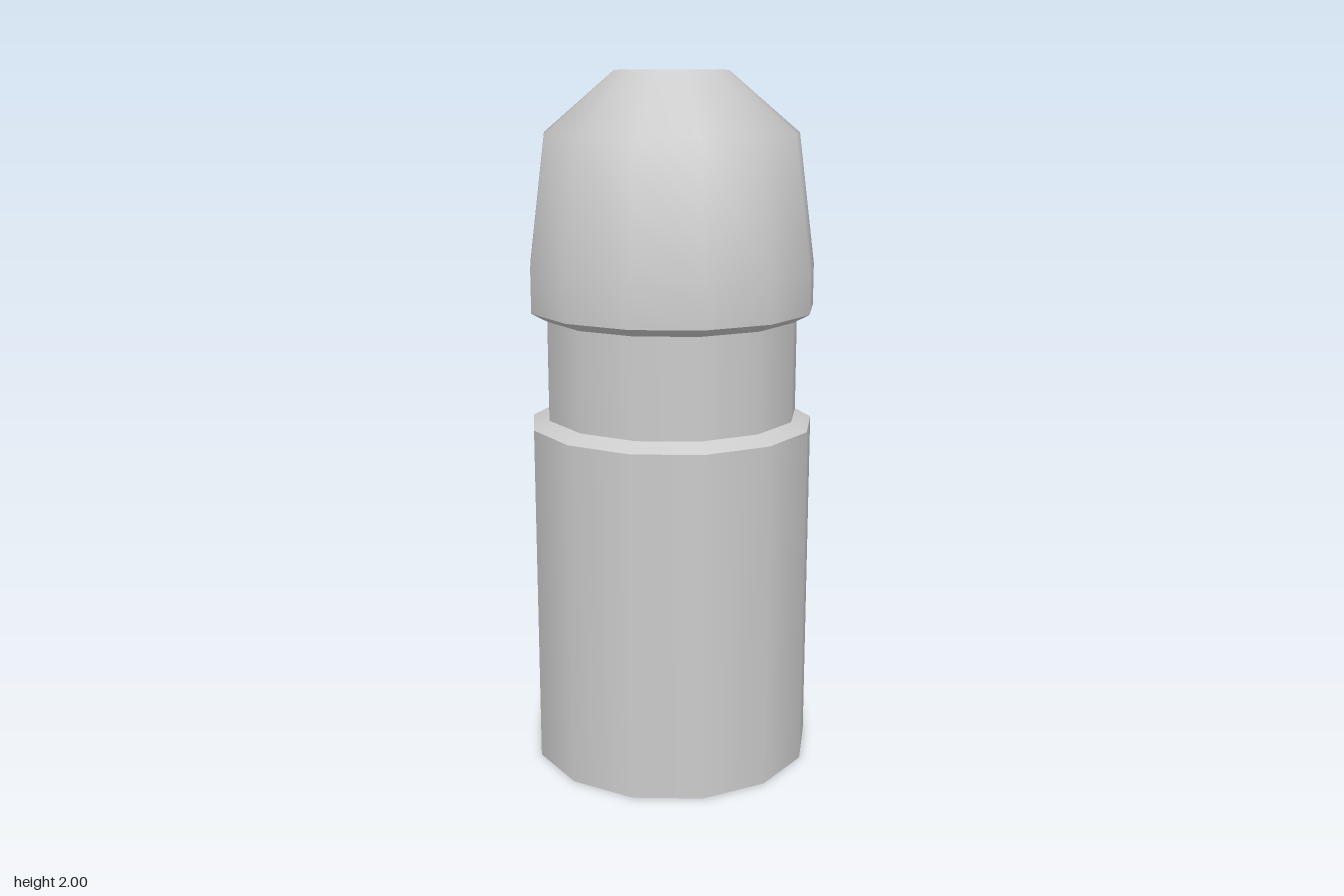
import * as THREE from 'three';

const SIDES = 13;
const R = 0.4135; // body radius
const NECK = 0.367; // groove radius

export function createModel() {
  const group = new THREE.Group();
  const material = new THREE.MeshStandardMaterial({ color: 0xcccccc });

  const add = (name, geometry) => {
    const mesh = new THREE.Mesh(geometry, material);
    mesh.name = name;
    group.add(mesh);
  };
  // Band turned around y, smooth within itself and sharp at its ends; a corner points to +x
  const band = (name, profile) => add(name, new THREE.LatheGeometry(
    profile.map(([r, y]) => new THREE.Vector2(r, y)), SIDES, Math.PI / 2));
  const cap = (name, radius, y, tilt) => add(name,
    new THREE.CircleGeometry(radius, SIDES).rotateX(tilt).translate(0, y, 0));

  // Lower casing
  cap('base', R, 0, Math.PI / 2);
  band('casing', [[R, 0], [R, 1.005]]);
  band('casingChamfer', [[R, 1.005], [NECK, 1.03]]);

  // Recessed neck
  band('neck', [[NECK, 1.03], [NECK, 1.315]]);

  // Tapered head with flat tip
  band('headChamfer', [[NECK, 1.315], [R, 1.34]]);
  band('head', [[R, 1.34], [R, 1.46], [0.365, 1.83], [0.162, 2]]);
  cap('tip', 0.162, 2, -Math.PI / 2);

  // Centre the odd-sided outline on x
  const shift = -R * (1 - Math.cos(Math.PI / SIDES)) / 2;
  group.children.forEach((mesh) => mesh.geometry.translate(shift, 0, 0));
  return group;
}
